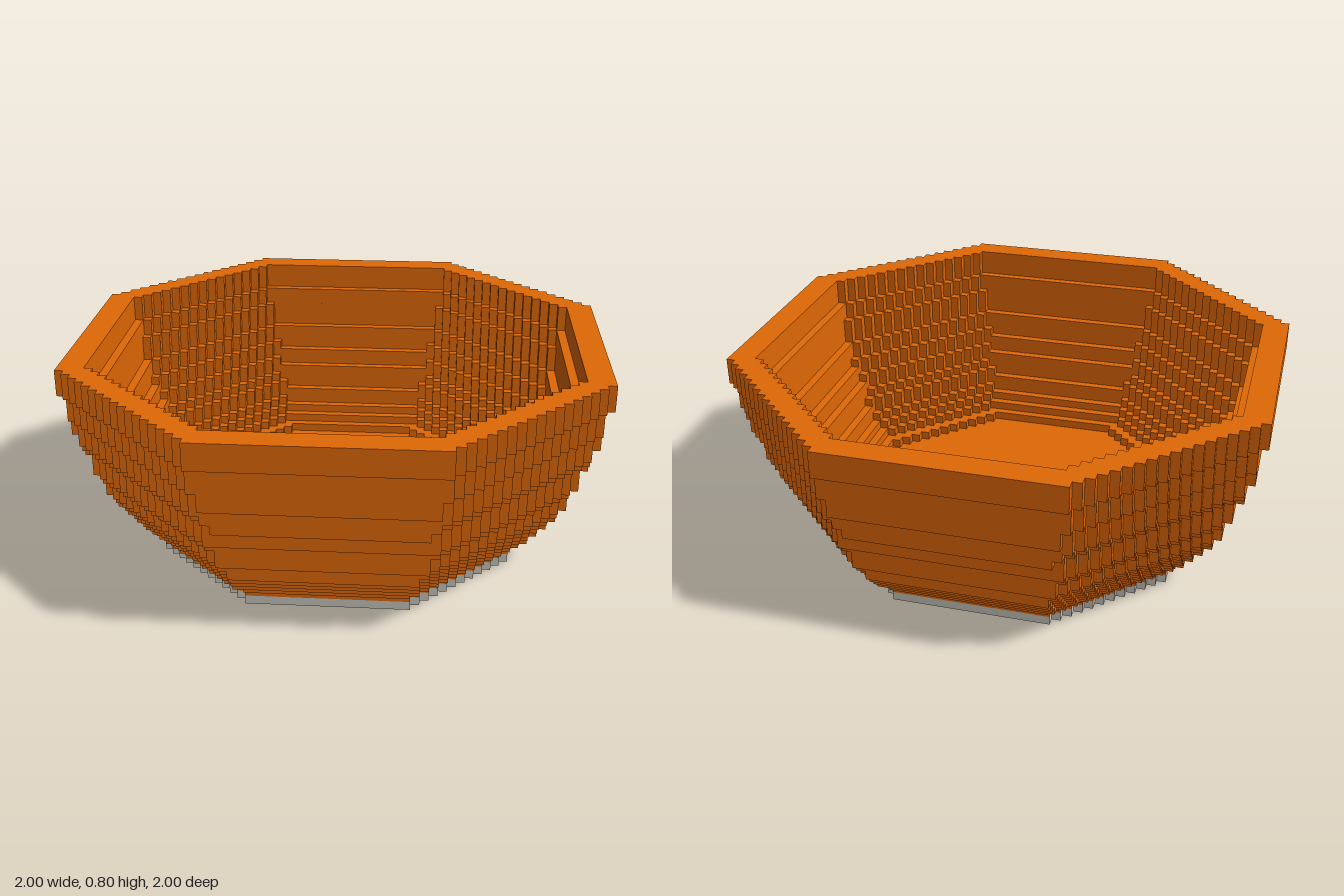
import * as THREE from 'three';
import { mergeGeometries } from 'three/addons/utils/BufferGeometryUtils.js';

const U = 1 / 30; // one block
const WALL = 3; // wall thickness in blocks
const FLOOR_TOP = 3;

// Bowl radius in blocks for each layer, from the one above the foot to the rim
const RADII = [
  19.9, 20.9, 21.95, 22.9, 23.8, 24.6, 25.1, 25.6, 26, 26.4, 26.9, 27.2,
  27.55, 27.9, 28.3, 28.55, 28.8, 29.05, 29.2, 29.4, 30, 30, 30,
];

// Octagon snapped to blocks: half width, and half length of its straight sides
function snap(radius) {
  const half = Math.round(radius);
  const flat = Math.floor(radius * Math.SQRT2) + 1 - half;
  return { half, flat };
}

// Outline with stair-stepped diagonals
function steppedOctagon(radius) {
  const { half, flat } = snap(radius);
  const corner = [];
  // one corner, walked from the +x side to the +y side
  for (let i = 0; i <= half - flat; i++) {
    corner.push([half - i, flat + i]);
    if (i < half - flat) corner.push([half - i - 1, flat + i]);
  }
  const points = [];
  for (let q = 0; q < 4; q++) {
    for (const [x, y] of corner) {
      const [px, py] = [[x, y], [-y, x], [-x, -y], [y, -x]][q];
      points.push(new THREE.Vector2(px * U, py * U));
    }
  }
  return points;
}

// Solid or hollow layer between two heights, given in blocks
function layer(outer, inner, y0, y1) {
  const shape = new THREE.Shape(steppedOctagon(outer));
  if (inner) shape.holes.push(new THREE.Path(steppedOctagon(inner)));
  const geometry = new THREE.ExtrudeGeometry(shape, { depth: (y1 - y0) * U, bevelEnabled: false });
  return geometry.rotateX(-Math.PI / 2).translate(0, y0 * U, 0);
}

// Layers whose snapped outlines match become one taller ring
function wallRings() {
  const key = (r) => JSON.stringify([snap(r), snap(r - WALL)]);
  const rings = [];
  let start = FLOOR_TOP - 1;
  for (let i = start + 1; i <= RADII.length; i++) {
    if (i < RADII.length && key(RADII[i]) === key(RADII[start])) continue;
    rings.push(layer(RADII[start], RADII[start] - WALL, start + 1, i + 1));
    start = i;
  }
  return rings;
}

export function createModel() {
  const group = new THREE.Group();
  const orange = new THREE.MeshStandardMaterial({ color: 0xe06806 });
  orange.name = 'orange glaze';
  const grey = new THREE.MeshStandardMaterial({ color: 0xc8c6bc });
  grey.name = 'pale grey clay';

  const add = (name, geometry, material) => {
    const mesh = new THREE.Mesh(geometry, material);
    mesh.name = name;
    group.add(mesh);
  };

  add('footRing', layer(RADII[0], 15, 0, 1), grey);

  const floor = RADII.slice(0, FLOOR_TOP - 1).map((r, i) => layer(r, 0, i + 1, i + 2));
  add('bowlFloor', mergeGeometries(floor), orange);

  add('bowlWall', mergeGeometries(wallRings()), orange);

  return group;
}
